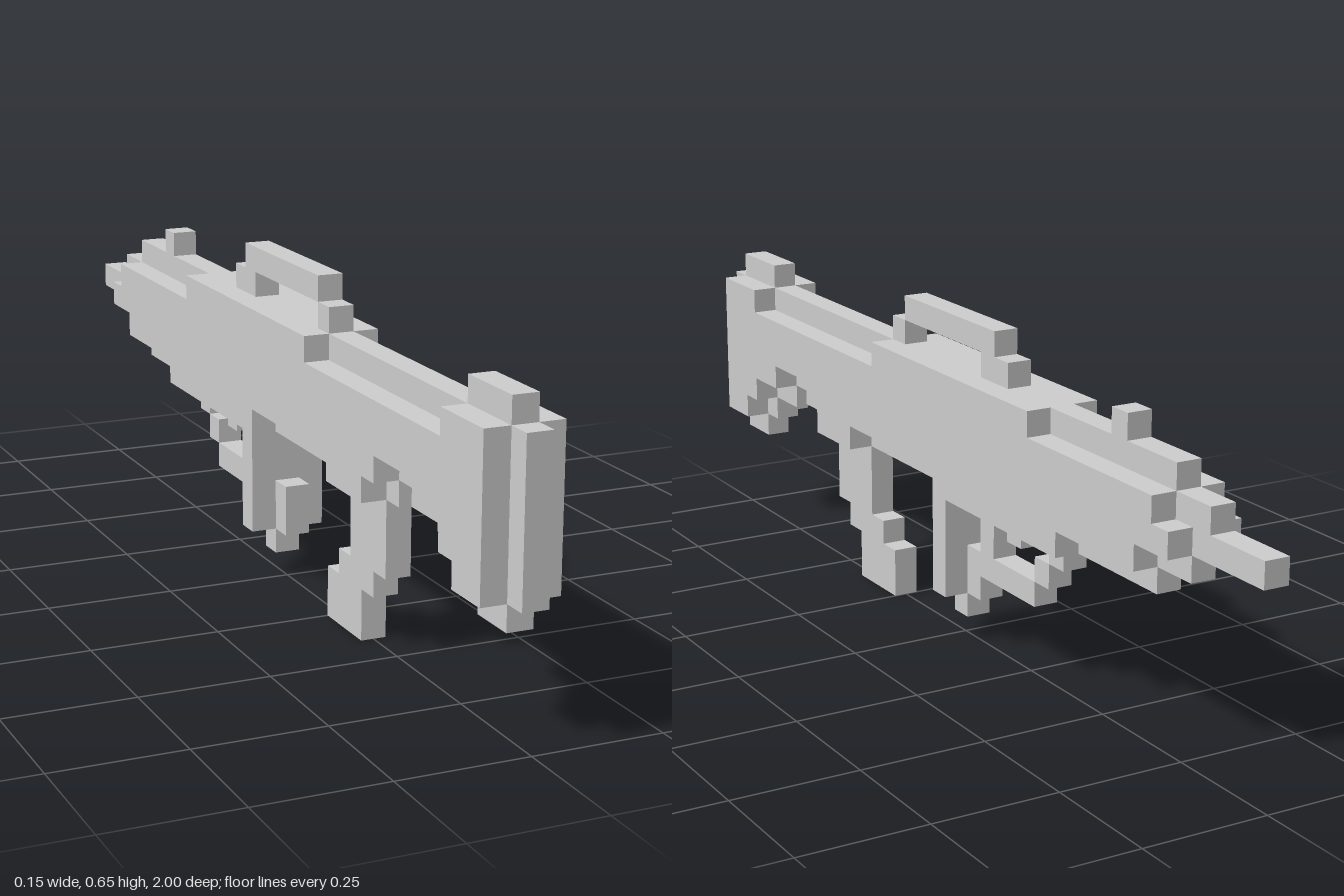
import * as THREE from 'three';

const U = 0.05; // one block

// Stepped outline: runs are [height, end z], top going back, bottom coming forward.
function steppedShape(frontZ, top, bottom) {
  const pts = [];
  let z = frontZ;
  for (const [y, end] of [...top, ...bottom]) {
    pts.push(new THREE.Vector2(z * U, y * U), new THREE.Vector2(end * U, y * U));
    z = end;
  }
  return new THREE.Shape(pts);
}

export function createModel() {
  const group = new THREE.Group();
  const material = new THREE.MeshStandardMaterial({ color: 0xcccccc, flatShading: true });

  function add(name, geometry, parent = group) {
    const mesh = new THREE.Mesh(geometry, material);
    mesh.name = name;
    parent.add(mesh);
    return mesh;
  }

  // Side profile (z, y) extruded to a width in blocks, centred on x
  function slab(name, width, shape) {
    const geo = new THREE.ExtrudeGeometry(shape, { depth: width * U, bevelEnabled: false });
    geo.translate(0, 0, -width * U / 2).rotateY(-Math.PI / 2);
    add(name, geo);
  }

  // Boxes given as [back z, front z, low y, high y, width], in blocks
  function blocks(name, list) {
    const part = new THREE.Group();
    part.name = name;
    group.add(part);
    list.forEach(([z0, z1, y0, y1, width = 1], i) => {
      const mesh = add(`${name}Block${i + 1}`,
        new THREE.BoxGeometry(width * U, (y1 - y0) * U, (z1 - z0) * U), part);
      mesh.position.set(0, (y0 + y1) / 2 * U, (z0 + z1) / 2 * U);
    });
  }

  // Wide stock and receiver
  slab('body', 3, steppedShape(19,
    [[11, 16], [10, 5], [11, -7], [10, -15], [9, -16]],
    [[8, -14], [7, -9], [6, 0], [7, 7], [6, 10], [7, 11], [8, 14], [7, 16], [6, 17], [5, 19]]));

  // Narrow spine showing along the top, bottom and both ends
  slab('spine', 1, steppedShape(20,
    [[11, 19], [12, 16], [11, -15], [10, -17], [9, -20]],
    [[8, -16], [7, -14], [6, 11], [7, 14], [6, 16], [5, 17], [4, 19], [5, 20]]));

  // Raised rail on two posts, and the small sight
  blocks('topRail', [[4, 5, 11, 12], [-4, -2, 11, 12], [-3, 4, 12, 13]]);
  blocks('sight', [[-12, -11, 11, 12]]);

  // Curved lower leg stepping backwards
  blocks('curvedGrip', [[7, 10, 3, 6], [6, 9, 2, 3], [5, 8, 0, 2]]);

  // Cross-shaped column
  blocks('column', [[-1, 0, 2, 6, 3], [-2, 1, 2, 4], [-1, 0, 1, 2]]);

  // Guard loop with the trigger inside
  blocks('guard', [[-3, -2, 4, 6], [-6, -2, 3, 4], [-7, -6, 4, 5], [-8, -7, 5, 6]]);
  blocks('trigger', [[-5, -4, 5, 6]]);

  return group;
}
